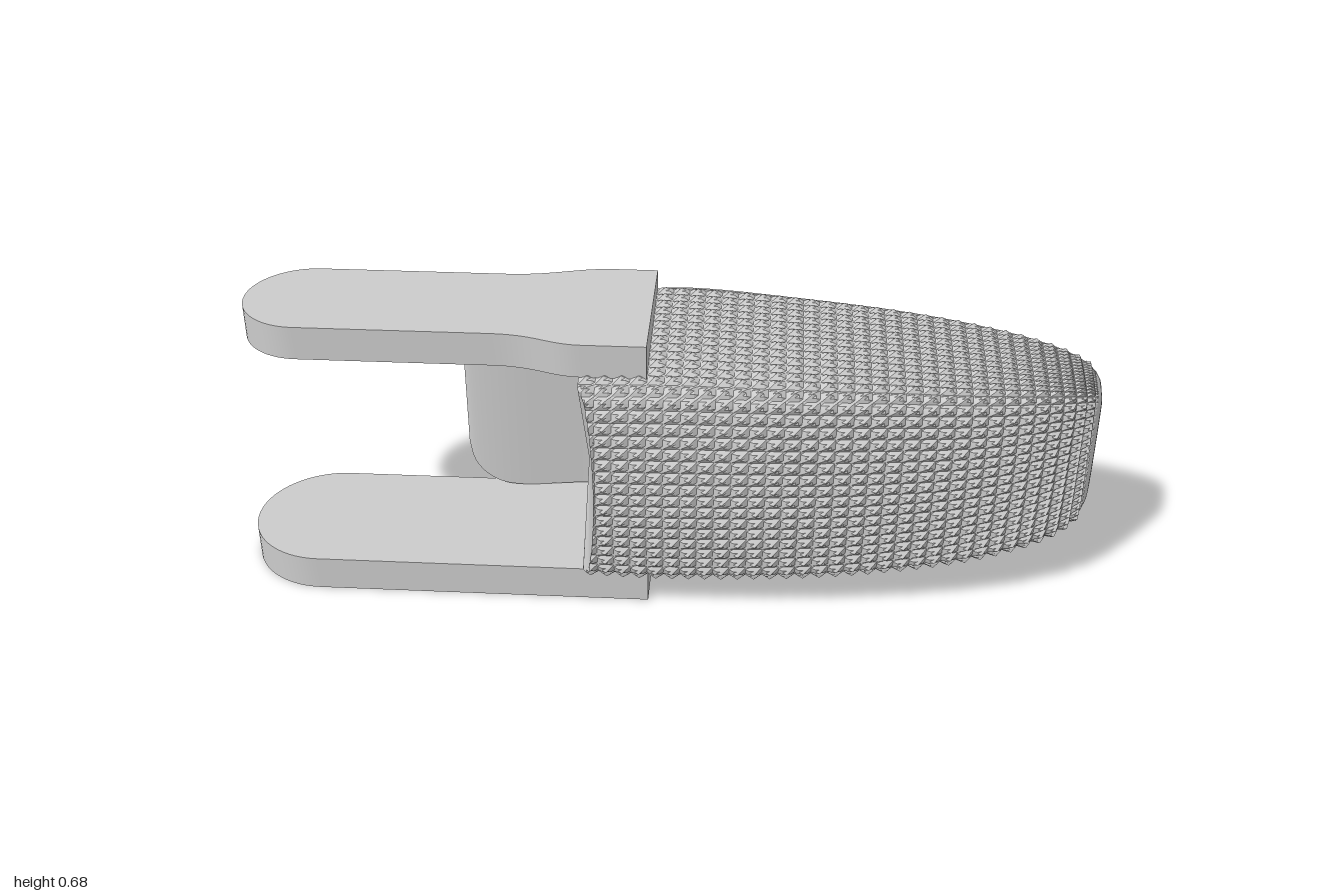
import * as THREE from 'three';
import { toCreasedNormals } from 'three/addons/utils/BufferGeometryUtils.js';

const MID = 0.343; // height of the symmetry plane
const V3 = (x, y, z) => new THREE.Vector3(x, y, z);

// Back surface: bowed along x, gently domed across y
const backZ = (x, y) => {
  const sag = 0.04 * (1 - 0.8 * THREE.MathUtils.smoothstep(x, 0.3, 1));
  return -0.245 + 0.125 * (x + 0.13) ** 2 + sag * (y / 0.3) ** 2;
};

// Skin closed rings running along +x and cap both ends
function loft(rings) {
  const n = rings[0].length, pos = [], idx = [];
  rings.flat().forEach((p) => pos.push(p.x, p.y, p.z));
  for (let i = 0; i < rings.length - 1; i++) {
    for (let j = 0; j < n; j++) {
      const a = i * n + j, b = i * n + (j + 1) % n;
      idx.push(a, b, a + n, b, b + n, a + n);
    }
  }
  [0, rings.length - 1].forEach((r, end) => {
    const c = rings[r].reduce((s, p) => s.add(p), V3(0, 0, 0)).divideScalar(n);
    const k = pos.length / 3;
    pos.push(c.x, c.y, c.z);
    for (let j = 0; j < n; j++) {
      const a = r * n + j, b = r * n + (j + 1) % n;
      if (end) idx.push(k, a, b);
      else idx.push(k, b, a);
    }
  });
  const g = new THREE.BufferGeometry();
  g.setAttribute('position', new THREE.Float32BufferAttribute(pos, 3));
  g.setIndex(idx);
  g.computeVertexNormals();
  return g;
}

// Half heights shared by the grip and the back plate: x, half height, front z
const STATIONS = [
  [0, 0.298, 0.233], [0.3, 0.29, 0.22], [0.5, 0.278, 0.197], [0.7, 0.257, 0.16],
  [0.85, 0.233, 0.108], [0.93, 0.21, 0.062], [0.97, 0.188, 0.022], [0.992, 0.165, -0.01], [1, 0.14, -0.035],
].map((s) => V3(...s));

// Tapered grip covered in small raised pyramids
function gripGeometry() {
  const rows = 34, cols = 44, sub = 4;
  const path = new THREE.Path();
  path.moveTo(0, 1);
  path.quadraticCurveTo(0.6, 0.98, 1.23, 0.87);
  path.quadraticCurveTo(1.4, 0.84, 1.43, 0.7);
  path.bezierCurveTo(1.52, 0.3, 1.52, -0.3, 1.43, -0.7);
  path.quadraticCurveTo(1.4, -0.84, 1.23, -0.87);
  path.quadraticCurveTo(0.6, -0.98, 0, -1);
  const section = path.getSpacedPoints(cols * sub);
  const rail = new THREE.CatmullRomCurve3([V3(-0.18, 0.293, 0.235), ...STATIONS]);
  const rings = rail.getSpacedPoints(rows * sub).map(({ x, y: h, z: front }) => {
    const edge = backZ(x, h) + 0.01;
    return section.map((p) => {
      const z = edge + (front - edge) * p.x / 1.495;
      // slanted cut at the front of the open end
      const cut = -0.18 + Math.max(0, z - 0.19) * 0.75;
      return V3(Math.max(x, cut), MID + h * p.y, z);
    });
  });
  const g = loft(rings), pos = g.attributes.position, nor = g.attributes.normal;
  const n = section.length;
  for (let i = 0; i < rings.length; i++) {
    const fade = 1 - THREE.MathUtils.smoothstep(i / (rows * sub), 0.93, 0.96);
    for (let j = 1; j < n - 1; j++) {
      const k = i * n + j;
      const tri = (t) => 1 - Math.abs(((t % sub) / sub) * 2 - 1);
      const d = 0.012 * fade * Math.min(tri(i), tri(j));
      pos.setXYZ(k, pos.getX(k) + d * nor.getX(k), pos.getY(k) + d * nor.getY(k), pos.getZ(k) + d * nor.getZ(k));
    }
  }
  g.computeVertexNormals();
  return g;
}

// Domed plate that runs past the grip as a rounded tongue
function plateGeometry() {
  const rail = new THREE.CatmullRomCurve3([
    V3(-0.5, 0.14, 0), V3(-0.488, 0.19, 0), V3(-0.46, 0.226, 0), V3(-0.42, 0.249, 0), V3(-0.37, 0.257, 0),
    V3(-0.18, 0.258, 0), V3(-0.1, 0.275, 0), ...STATIONS.map((s) => V3(s.x, s.y + 0.002, 0)),
  ], false, 'centripetal');
  const steps = 20;
  const rings = rail.getSpacedPoints(90).map(({ x, y: h }) => {
    const ring = [];
    const tongue = 1 - THREE.MathUtils.smoothstep(x, -0.4, -0.1);
    const inner = backZ(x, h) + 0.014 + 0.016 * tongue;
    for (let j = 0; j <= steps; j++) {
      const y = h * (1 - 2 * j / steps);
      ring.push(V3(x, MID + y, inner));
    }
    for (let j = 0; j <= steps; j++) {
      const y = h * (2 * j / steps - 1) * 0.985;
      ring.push(V3(x, MID + y, backZ(x, y)));
    }
    return ring;
  });
  return toCreasedNormals(loft(rings), 0.6);
}

// Hinge arm: round end at -x, optionally flaring out towards the grip
function armGeometry(r, height) {
  const cx = r - 1 + (r < 0.18 ? 0.04 : 0), cz = -0.02, wide = 0.185, end = -0.03;
  const s = new THREE.Shape(); // shape y is -z
  s.moveTo(end, -cz - wide);
  s.lineTo(end, -cz + wide);
  s.lineTo(-0.13, -cz + wide);
  s.bezierCurveTo(-0.22, -cz + wide, -0.27, -cz + r, -0.38, -cz + r);
  s.lineTo(cx, -cz + r);
  s.absarc(cx, -cz, r, Math.PI / 2, Math.PI * 1.5, false);
  s.lineTo(-0.38, -cz - r);
  s.bezierCurveTo(-0.27, -cz - r, -0.25, -cz - wide, -0.17, -cz - wide);
  const g = new THREE.ExtrudeGeometry(s, { depth: height, bevelEnabled: false, curveSegments: 16 });
  return toCreasedNormals(g.rotateX(-Math.PI / 2), 0.5);
}

export function createModel() {
  const group = new THREE.Group();
  const smooth = new THREE.MeshStandardMaterial({ color: 0xcccccc });
  const faceted = new THREE.MeshStandardMaterial({ color: 0xcccccc, flatShading: true });
  const add = (name, geometry, material, y = 0) => {
    const mesh = new THREE.Mesh(geometry, material);
    mesh.name = name;
    mesh.position.y = y;
    group.add(mesh);
  };
  add('texturedGrip', gripGeometry(), faceted);
  add('backPlate', plateGeometry(), smooth);
  add('lowerArm', armGeometry(0.185, 0.083), smooth);
  add('upperArm', armGeometry(0.145, 0.08), smooth, 0.602);
  return group;
}
